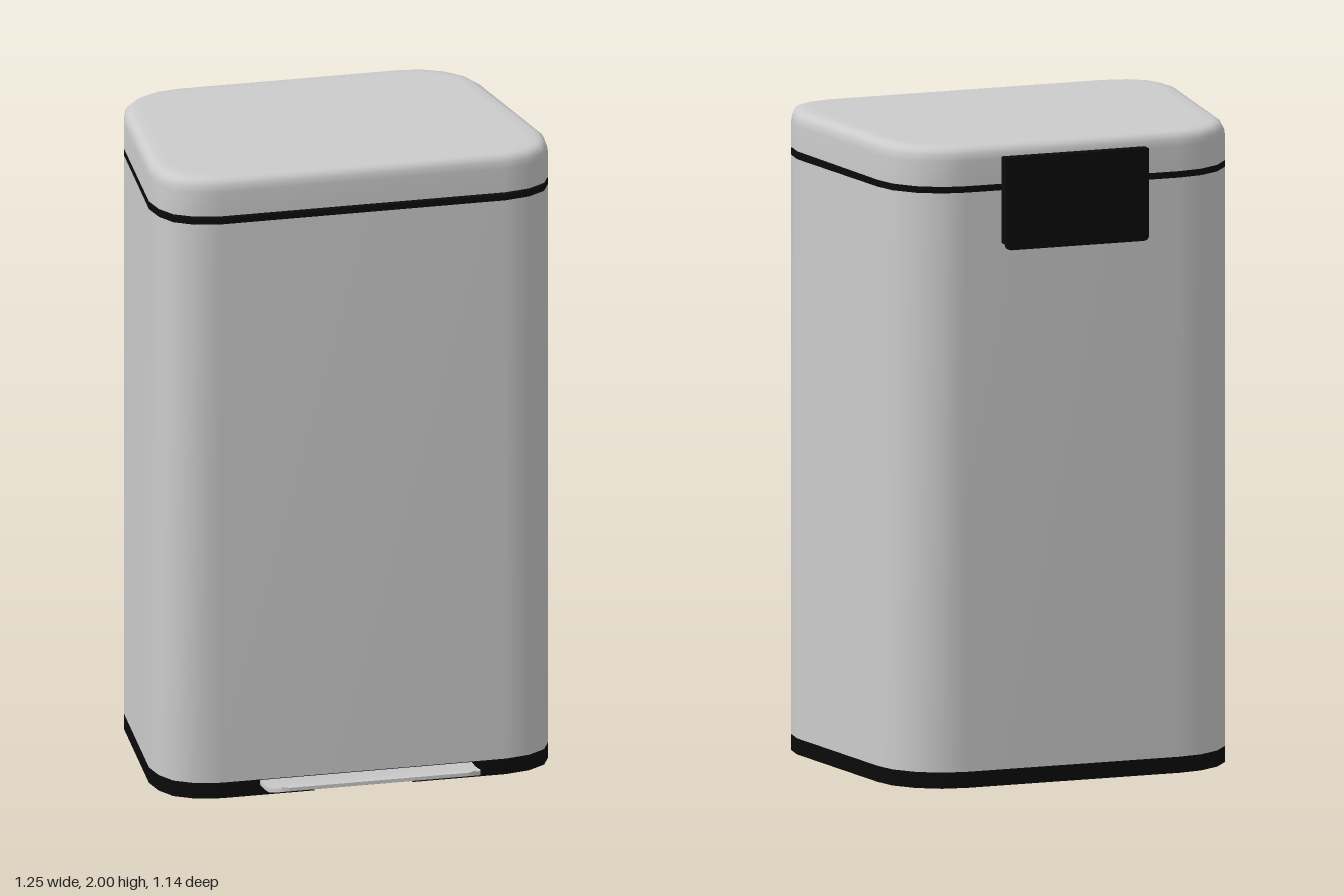
import * as THREE from 'three';

const grey = new THREE.MeshStandardMaterial({ color: 0xcccccc });
const greyFlat = new THREE.MeshStandardMaterial({ color: 0xcccccc, flatShading: true });
const black = new THREE.MeshStandardMaterial({ color: 0x0a0a0a });

// Plan outline [x, z]: the left half from front to back, then mirrored
const half = [
  [0.45, 0.38], [0.53, 0.362], [0.587, 0.322], [0.616, 0.26], [0.627, 0.18],
  [0.567, -0.34], [0.546, -0.415], [0.495, -0.48], [0.425, -0.522], [0.35, -0.535],
];
const outline = [...half, ...half.map(([x, z]) => [-x, z]).reverse()];

// Outline moved inwards by d, as a ring at height y
function ring(y, d = 0) {
  const n = outline.length;
  return outline.map(([x, z], i) => {
    const a = outline[(i + n - 1) % n], b = outline[(i + 1) % n];
    const tx = b[0] - a[0], tz = b[1] - a[1], l = Math.hypot(tx, tz);
    return [x + (tz / l) * d, y, z - (tx / l) * d];
  });
}

// Skin over a stack of convex rings, closed at both ends
function loft(rings) {
  const n = rings[0].length, pos = rings.flat(2), index = [];
  for (let r = 0; r < rings.length - 1; r++) {
    for (let i = 0; i < n; i++) {
      const a = r * n + i, b = r * n + ((i + 1) % n);
      index.push(a, b, b + n, a, b + n, a + n);
    }
  }
  for (const [cap, top] of [[rings[0], false], [rings[rings.length - 1], true]]) {
    const s = pos.length / 3;
    pos.push(...cap.flat());
    for (let i = 1; i < n - 1; i++) {
      if (top) index.push(s, s + i, s + i + 1);
      else index.push(s, s + i + 1, s + i);
    }
  }
  const g = new THREE.BufferGeometry();
  g.setAttribute('position', new THREE.Float32BufferAttribute(pos, 3));
  g.setIndex(index);
  g.computeVertexNormals();
  return g;
}

// Rectangular cross-section at depth z
const slice = (z, w, low, high) => [[-w, low, z], [w, low, z], [w, high, z], [-w, high, z]];

export function createModel() {
  const model = new THREE.Group();
  const add = (name, geometry, material, parent = model) => {
    const mesh = new THREE.Mesh(geometry, material);
    mesh.name = name;
    parent.add(mesh);
    return mesh;
  };
  const addBox = (name, w, h, d, x, y, z, parent) =>
    add(name, new THREE.BoxGeometry(w, h, d), black, parent).position.set(x, y, z);

  // Base with a channel underneath for the pedal lever
  const plan = new THREE.Shape(outline.map(([x, z]) => new THREE.Vector2(x, -z)));
  for (const [x, z] of [[-0.155, 0.38], [-0.155, -0.3], [0.155, -0.3], [0.155, 0.38]]) plan.lineTo(x, -z);
  plan.closePath();
  const foot = new THREE.ExtrudeGeometry(plan, { depth: 0.044, bevelEnabled: false });
  foot.rotateX(-Math.PI / 2);
  add('base', foot, black);
  add('basePlate', loft([ring(0.044), ring(0.05)]), black);

  // Body and the dark seal under the lid
  add('body', loft([ring(0.05), ring(1.852)]), grey);
  add('seal', loft([ring(1.852), ring(1.871)]), black);

  // Lid with a rounded rim, resting slightly raised at the front
  const lidRings = [
    [1.872, 0], [1.955, 0], [1.975, 0.003], [1.988, 0.01],
    [1.996, 0.022], [1.999, 0.038], [2, 0.06],
  ].map(([y, d]) => ring(y, d));
  lidRings.forEach((r, k) => r.forEach((p) => {
    p[1] += k === 0 ? 0.006 * (p[2] + 0.535) / 0.915 : 0.005 * (p[2] - 0.38) / 0.915;
  }));
  add('lid', loft(lidRings), grey);

  // Hinge cover: back plate with rounded lower corners, side ribs and a top block
  const hinge = new THREE.Group();
  hinge.name = 'hinge';
  model.add(hinge);
  const s = new THREE.Shape();
  s.moveTo(-0.235, 1.957);
  s.lineTo(-0.235, 1.69);
  s.quadraticCurveTo(-0.235, 1.67, -0.215, 1.67);
  s.lineTo(0.215, 1.67);
  s.quadraticCurveTo(0.235, 1.67, 0.235, 1.69);
  s.lineTo(0.235, 1.957);
  s.closePath();
  const plate = new THREE.ExtrudeGeometry(s, { depth: 0.012, bevelEnabled: false });
  add('hingePlate', plate, black, hinge).position.z = -0.572;
  for (const side of [-1, 1]) addBox('hingeRib', 0.035, 0.27, 0.026, side * 0.2175, 1.822, -0.547, hinge);
  addBox('hingeBlock', 0.4, 0.1, 0.026, 0, 1.907, -0.547, hinge);

  // Pedal: lever, and a foot plate with fine ridges and rounded front corners
  const pedal = new THREE.Group();
  pedal.name = 'pedal';
  model.add(pedal);
  add('pedalLever', loft([
    slice(0.25, 0.147, 0.022, 0.043), slice(0.38, 0.147, 0.022, 0.046),
    slice(0.42, 0.147, 0.027, 0.053), slice(0.47, 0.147, 0.038, 0.054), slice(0.51, 0.147, 0.05, 0.058),
  ]), greyFlat, pedal);
  const ridges = 14, slices = [], z0 = 0.405, z1 = 0.568;
  for (let i = 0; i <= ridges * 2; i++) {
    const t = i / (ridges * 2), z = z0 + (z1 - z0) * t;
    const y = 0.054 + 0.026 * t ** 2.5;
    const k = Math.max(0, (t - 0.6) / 0.4);
    const w = 0.285 + 0.05 * Math.sqrt(1 - k * k);
    slices.push(slice(z, w, y - 0.011, y + (i % 2 ? 0.005 : 0)));
  }
  add('pedalPlate', loft(slices), greyFlat, pedal);

  return model;
}
